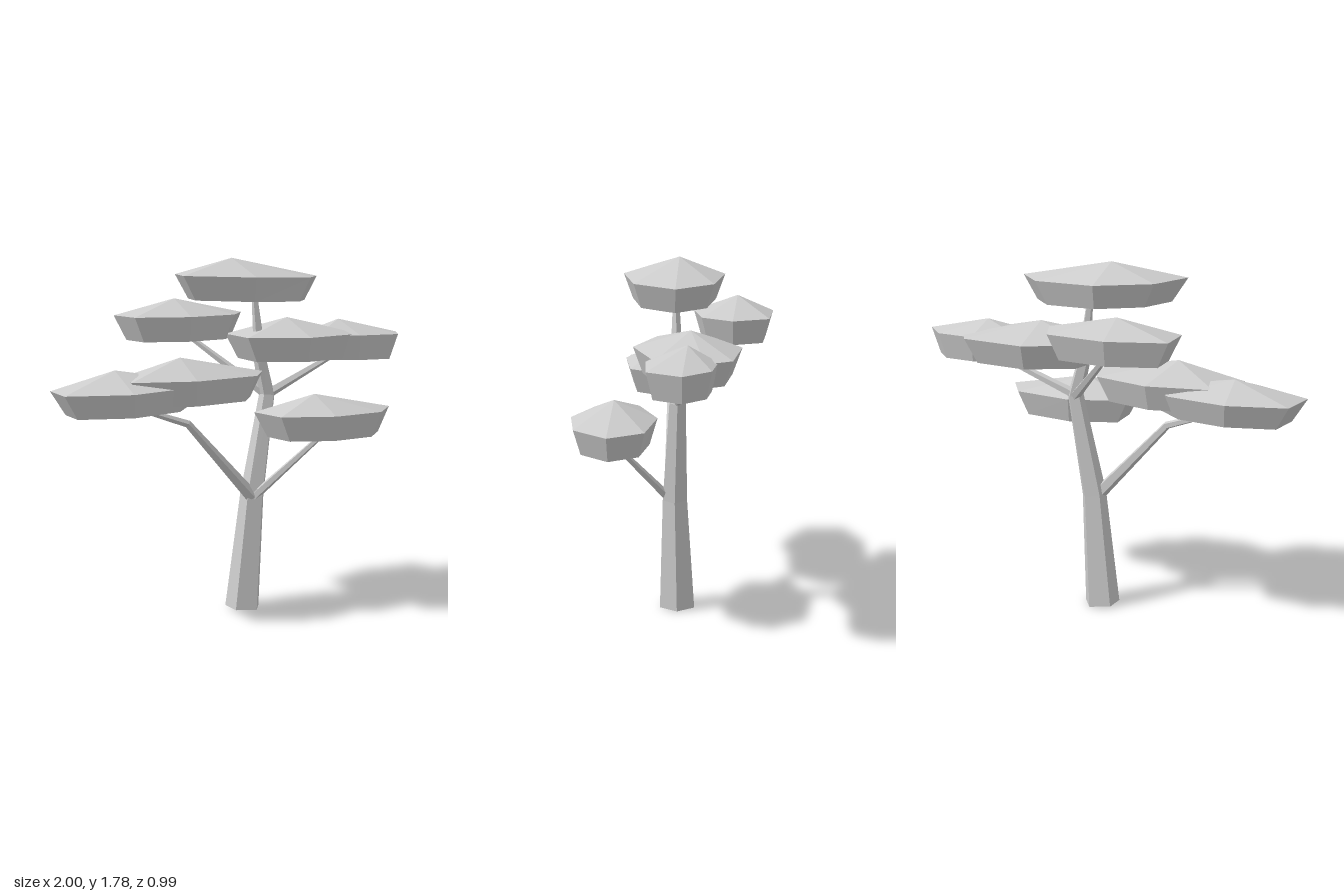
import * as THREE from 'three';

const gray = new THREE.MeshStandardMaterial({ color: 0xcccccc });
gray.name = 'pale gray';

const V = (x, y, z) => new THREE.Vector3(x, y, z);

// Flat-faced skin over rings that run counterclockwise about the growth direction
function loft(rings, startCap, endCap) {
  const pos = [];
  const tri = (...pts) => pts.forEach((p) => pos.push(p.x, p.y, p.z));
  const n = rings[0].length;
  const last = rings[rings.length - 1];
  for (let i = 0; i < n; i++) {
    const j = (i + 1) % n;
    for (let k = 0; k < rings.length - 1; k++) {
      const a = rings[k], b = rings[k + 1];
      tri(a[i], a[j], b[j]);
      tri(a[i], b[j], b[i]);
    }
    tri(startCap, rings[0][j], rings[0][i]);
    tri(endCap, last[i], last[j]);
  }
  const geo = new THREE.BufferGeometry();
  geo.setAttribute('position', new THREE.Float32BufferAttribute(pos, 3));
  geo.computeVertexNormals();
  return geo;
}

// Five-sided tapering limb through points [x, y, z, radius]
function limb(path, ref) {
  const c = path.map((p) => V(p[0], p[1], p[2]));
  const rings = path.map((p, k) => {
    const t = c[Math.min(k + 1, c.length - 1)].clone().sub(c[Math.max(k - 1, 0)]).normalize();
    const u = ref.clone().addScaledVector(t, -ref.dot(t)).normalize();
    const v = t.clone().cross(u);
    return Array.from({ length: 5 }, (_, i) => {
      const a = (i / 5) * Math.PI * 2;
      const q = c[k].clone().addScaledVector(u, p[3] * Math.cos(a)).addScaledVector(v, p[3] * Math.sin(a));
      q.y = Math.max(q.y, 0);
      return q;
    });
  });
  return loft(rings, c[0], c[c.length - 1]);
}

// Leaf pad: low peak over a seven-sided rim, tapering to a flat underside
function pad({ apex, rim, yLeft, yRight, depth }) {
  const pts = [...rim].reverse();
  const xs = pts.map((p) => p[0]), zs = pts.map((p) => p[1]);
  const x0 = Math.min(...xs), x1 = Math.max(...xs);
  const cx = (x0 + x1) / 2, cz = (Math.min(...zs) + Math.max(...zs)) / 2;
  const yAt = (x) => yLeft + ((yRight - yLeft) * (x - x0)) / (x1 - x0);
  const upper = pts.map(([x, z]) => V(x, yAt(x), z));
  const lower = pts.map(([x, z]) => V(cx + (x - cx) * 0.82, yAt(x) - depth, cz + (z - cz) * 0.82));
  return loft([lower, upper], V(cx, yAt(cx) - depth, cz), V(...apex));
}

const limbs = {
  trunk: [[0.03, 0, -0.02, 0.092], [0.08, 0.58, -0.01, 0.064], [0.175, 1.09, -0.025, 0.042],
    [0.132, 1.26, -0.02, 0.034], [0.09, 1.62, -0.015, 0.014]],
  leftBranch: [[0.06, 0.58, 0.01, 0.036], [-0.31, 0.98, 0.02, 0.02], [-0.6, 1.08, 0.03, 0.012]],
  frontBranch: [[0.07, 0.58, 0.02, 0.024], [0.33, 0.94, 0.3, 0.012]],
  rightBranch: [[0.17, 1.09, -0.025, 0.026], [0.64, 1.28, -0.07, 0.013]],
  backBranch: [[0.18, 1.08, -0.03, 0.026], [-0.15, 1.39, -0.29, 0.013]],
};

// Rim points are [x, z], starting at the back
const pads = {
  crownPad: { apex: [-0.03, 1.78, -0.03], yLeft: 1.705, yRight: 1.68, depth: 0.12,
    rim: [[-0.04, -0.255], [0.3, -0.2], [0.465, -0.02], [0.3, 0.18], [-0.05, 0.245], [-0.375, 0.11], [-0.3, -0.12]] },
  backPad: { apex: [-0.2, 1.57, -0.32], yLeft: 1.49, yRight: 1.49, depth: 0.125,
    rim: [[-0.22, -0.5], [0.09, -0.47], [0.175, -0.29], [0.05, -0.14], [-0.22, -0.1], [-0.48, -0.2], [-0.5, -0.4]] },
  innerRightPad: { apex: [0.33, 1.47, -0.09], yLeft: 1.39, yRight: 1.38, depth: 0.125,
    rim: [[0.31, -0.335], [0.66, -0.285], [0.74, -0.16], [0.67, 0.07], [0.3, 0.185], [0.0, 0.08], [0.03, -0.2]] },
  outerRightPad: { apex: [0.64, 1.45, -0.08], yLeft: 1.38, yRight: 1.37, depth: 0.13,
    rim: [[0.66, -0.22], [0.87, -0.19], [0.995, -0.06], [0.895, 0.1], [0.65, 0.11], [0.43, 0.04], [0.44, -0.13]] },
  outerLeftPad: { apex: [-0.68, 1.26, -0.02], yLeft: 1.17, yRight: 1.18, depth: 0.115,
    rim: [[-0.7, -0.2], [-0.4, -0.17], [-0.21, -0.02], [-0.38, 0.18], [-0.71, 0.25], [-1.0, 0.115], [-0.98, -0.1]] },
  innerLeftPad: { apex: [-0.36, 1.31, 0.04], yLeft: 1.215, yRight: 1.22, depth: 0.125,
    rim: [[-0.28, -0.18], [0.01, -0.11], [0.1, 0.05], [-0.03, 0.215], [-0.38, 0.255], [-0.67, 0.14], [-0.6, -0.1]] },
  frontPad: { apex: [0.26, 1.12, 0.28], yLeft: 1.035, yRight: 1.03, depth: 0.125,
    rim: [[0.27, 0.07], [0.59, 0.12], [0.705, 0.29], [0.54, 0.455], [0.25, 0.49], [0.0, 0.39], [-0.02, 0.17]] },
};

export function createModel() {
  const tree = new THREE.Group();
  tree.name = 'tree';
  const add = (name, geo) => {
    const mesh = new THREE.Mesh(geo, gray);
    mesh.name = name;
    tree.add(mesh);
  };
  for (const [name, path] of Object.entries(limbs)) {
    add(name, limb(path, name === 'trunk' ? V(1, 0, 0) : V(0, 0, 1)));
  }
  for (const [name, spec] of Object.entries(pads)) add(name, pad(spec));
  return tree;
}
